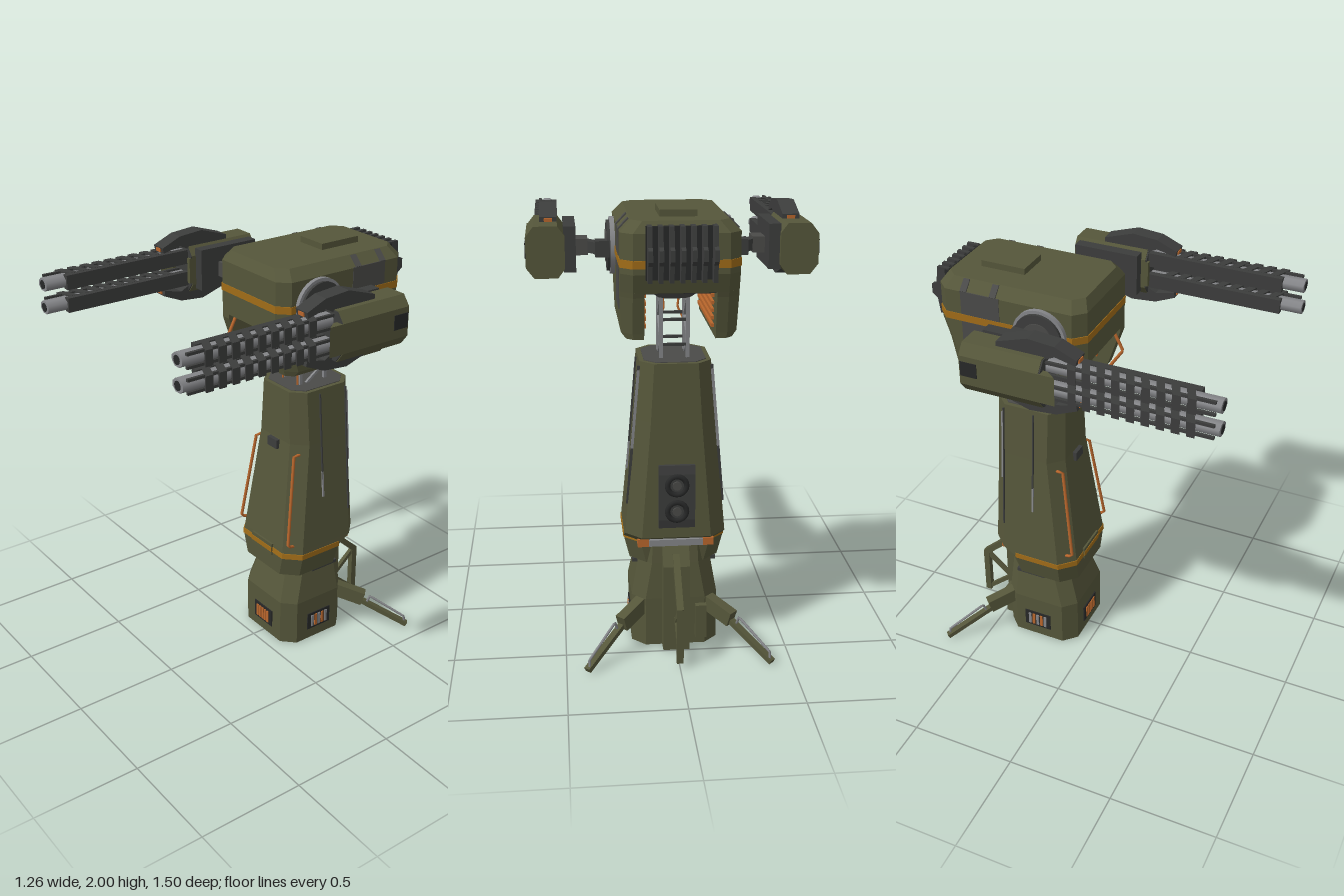
import * as THREE from 'three';

const mat = (name, color, double) => {
  const m = new THREE.MeshStandardMaterial({ color });
  m.name = name;
  if (double) m.side = THREE.DoubleSide;
  return m;
};
const V = (a) => new THREE.Vector3(...a);

export function createModel() {
  const root = new THREE.Group();
  root.name = 'sentryTower';
  const olive = mat('olive', 0x55563a), dark = mat('darkMetal', 0x3c3d3c), panel = mat('panelGrey', 0x4a4a48);
  const grey = mat('lightMetal', 0x858689), orange = mat('orange', 0xb8662c), stripe = mat('amberStripe', 0xa06c18);
  const black = mat('black', 0x272828);

  const add = (name, geo, m, x = 0, y = 0, z = 0) => {
    const mesh = new THREE.Mesh(geo, m);
    mesh.name = name;
    mesh.position.set(x, y, z);
    root.add(mesh);
    return mesh;
  };
  // box given by its min and max on each axis
  const box = (name, m, x0, x1, y0, y1, z0, z1) => add(name,
    new THREE.BoxGeometry(Math.abs(x1 - x0), y1 - y0, z1 - z0), m, (x0 + x1) / 2, (y0 + y1) / 2, (z0 + z1) / 2);
  // square beam between two points
  const beam = (name, m, p, q, w, h) => {
    const a = V(p), b = V(q);
    const mesh = add(name, new THREE.BoxGeometry(w, h, a.distanceTo(b)), m, ...a.clone().add(b).multiplyScalar(0.5).toArray());
    mesh.lookAt(b);
    return mesh;
  };
  // bent pipe with straight runs
  const pipe = (name, m, pts, r) => {
    const path = new THREE.CurvePath();
    for (let i = 0; i < pts.length - 1; i++) path.add(new THREE.LineCurve3(V(pts[i]), V(pts[i + 1])));
    add(name, new THREE.TubeGeometry(path, (pts.length - 1) * 8, r, 8), m);
  };
  const extrude = (pts, depth) => new THREE.ExtrudeGeometry(
    new THREE.Shape(pts.map((p) => new THREE.Vector2(...p))), { depth, bevelEnabled: false });
  // [z, y] outline pushed along x, and [x, z] outline pushed along y
  const slabX = (name, m, pts, x0, x1) => add(name,
    extrude(pts.map(([z, y]) => [-z, y]), Math.abs(x1 - x0)).rotateY(Math.PI / 2), m, Math.min(x0, x1));
  const slabY = (name, m, pts, y0, y1) => add(name,
    extrude(pts.map(([x, z]) => [x, -z]), y1 - y0).rotateX(-Math.PI / 2), m, 0, y0);
  // stacked chamfered rectangles, bottom to top: [y, xMin, xMax, zFront, zBack, chamfer -x, chamfer +x]
  const loft = (name, m, sections) => {
    const pos = [], idx = [], n = 8, top = (sections.length - 1) * n;
    for (const [y, a, b, f, k, l, r] of sections) {
      for (const [x, z] of [[a + l, f], [b - r, f], [b, f - r], [b, k + r], [b - r, k], [a + l, k], [a, k + l], [a, f - l]]) pos.push(x, y, z);
    }
    for (let s = 0; s < top; s += n) for (let i = 0; i < n; i++) {
      const j = (i + 1) % n;
      idx.push(s + i, s + j, s + n + j, s + i, s + n + j, s + n + i);
    }
    for (let i = 1; i < n - 1; i++) idx.push(0, i + 1, i, top, top + i, top + i + 1);
    const g = new THREE.BufferGeometry();
    g.setAttribute('position', new THREE.Float32BufferAttribute(pos, 3));
    g.setIndex(idx);
    const flat = g.toNonIndexed();
    flat.computeVertexNormals();
    return add(name, flat, m);
  };
  const sym = (y, w, f, k, c) => [y, -w, w, f, k, c, c];

  // base and its rear block
  loft('base', olive, [sym(0, 0.195, -0.065, -0.44, 0.06), sym(0.23, 0.195, -0.065, -0.44, 0.06),
    sym(0.4, 0.165, -0.12, -0.43, 0.06), sym(0.52, 0.16, -0.14, -0.42, 0.06)]);
  slabX('rearBlock', olive, [[-0.42, 0], [-0.5, 0], [-0.5, 0.41], [-0.44, 0.5], [-0.42, 0.5]], -0.06, 0.06);
  box('rearBox', olive, -0.14, -0.09, 0.04, 0.2, -0.47, -0.43);
  box('undersidePlate', grey, -0.1, 0.1, -0.0, 0.006, -0.36, -0.16).position.y = 0.0;

  // vents on the front and both sides of the base
  box('frontVent', black, -0.07, 0.07, 0.055, 0.145, -0.07, -0.059);
  for (let i = -2; i <= 2; i++) box('frontVentBar', orange, i * 0.02 - 0.007, i * 0.02 + 0.007, 0.068, 0.132, -0.062, -0.054);
  for (const s of [-1, 1]) {
    box('sideVent', black, s * 0.19, s * 0.2, 0.055, 0.145, -0.33, -0.19);
    for (let i = -2; i <= 2; i++) {
      box('sideVentBar', i % 2 ? orange : grey, s * 0.196, s * 0.205, 0.068, 0.132, -0.267 + i * 0.021, -0.253 + i * 0.021);
    }
  }

  // rear frame and the two stabiliser legs
  beam('rearStrut', olive, [0, 0.45, -0.46], [0, 0.27, -0.655], 0.03, 0.03);
  beam('rearStrut', olive, [0, 0.28, -0.65], [0, 0.02, -0.65], 0.03, 0.03);
  beam('rearBrace', olive, [0, 0.14, -0.5], [0, 0.27, -0.65], 0.02, 0.02);
  beam('rearStrut', olive, [0, 0.03, -0.65], [0, 0.16, -0.5], 0.02, 0.02);
  for (const s of [-1, 1]) {
    beam('legRoot', olive, [s * 0.14, 0.2, -0.4], [s * 0.25, 0.15, -0.51], 0.05, 0.07);
    beam('leg', olive, [s * 0.19, 0.18, -0.44], [s * 0.41, 0.012, -0.67], 0.03, 0.022);
    pipe('legRail', grey, [[s * 0.27, 0.13, -0.52], [s * 0.28, 0.165, -0.53], [s * 0.4, 0.055, -0.66], [s * 0.4, 0.02, -0.665]], 0.006);
  }

  // main tower shell
  loft('towerShell', olive, [sym(0.4, 0.2, -0.06, -0.41, 0.07), sym(0.51, 0.227, -0.056, -0.42, 0.07),
    sym(0.55, 0.223, -0.06, -0.49, 0.07), sym(1.08, 0.176, -0.128, -0.476, 0.065), sym(1.34, 0.155, -0.13, -0.47, 0.06)]);
  loft('towerStripe', stripe, [sym(0.503, 0.228, -0.053, -0.423, 0.07), sym(0.53, 0.228, -0.055, -0.423, 0.07)]);
  box('stripeHatch', olive, -0.08, 0.08, 0.488, 0.548, -0.07, -0.05);
  box('stripeHatchBand', stripe, -0.08, 0.08, 0.505, 0.53, -0.06, -0.047);
  loft('towerTopRecess', panel, [sym(1.335, 0.135, -0.15, -0.45, 0.05), sym(1.343, 0.135, -0.15, -0.45, 0.05)]);
  box('frontSensor', dark, -0.035, 0.035, 1.03, 1.075, -0.14, -0.108);
  box('waistPlate', grey, -0.12, 0.12, 0.5, 0.53, -0.47, -0.4);
  for (const s of [-1, 1]) {
    box('waistConnector', orange, s * 0.12, s * 0.17, 0.495, 0.53, -0.46, -0.41);
    box('waistPad', dark, s * 0.14, s * 0.19, 0.385, 0.402, -0.37, -0.22);
    // slits run down the sloping side walls
    for (const [z, y0, y1, m] of [[-0.262, 0.8, 1.32, dark], [-0.262, 0.8, 0.93, grey], [-0.415, 0.69, 1.32, dark], [-0.42, 0.95, 1.3, grey]]) {
      const x = (y) => s * (0.1565 + (1.34 - y) * 0.086);
      beam('sideSlit', m, [x(y0), y0, z], [x(y1), y1, z], m === grey ? 0.008 : 0.006, 0.012);
    }
    pipe('cornerRail', orange, [[s * 0.145, 1.03, -0.17], [s * 0.147, 1.03, -0.125], [s * 0.189, 0.58, -0.064], [s * 0.185, 0.57, -0.1]], 0.0075);
  }

  // rear hatch with two round covers
  slabX('rearHatch', dark, [[-0.47, 0.6], [-0.5, 0.6], [-0.508, 0.64], [-0.506, 0.85], [-0.498, 0.89], [-0.47, 0.89]], -0.08, 0.08);
  for (const y of [0.68, 0.8]) {
    add('hatchRing', new THREE.TorusGeometry(0.042, 0.012, 8, 20), black, 0, y, -0.507);
    add('hatchCap', new THREE.CylinderGeometry(0.02, 0.02, 0.02, 12).rotateX(Math.PI / 2), panel, 0, y, -0.505);
  }

  // truss neck
  for (const s of [-1, 1]) {
    for (const z of [-0.225, -0.37]) beam('neckPole', grey, [s * 0.058, 1.3, z], [s * 0.058, 1.66, z], 0.016, 0.016);
    beam('neckBrace', grey, [s * 0.058, 1.34, -0.26], [s * 0.058, 1.42, -0.37], 0.012, 0.012);
    beam('neckBrace', grey, [s * 0.058, 1.42, -0.37], [s * 0.058, 1.5, -0.23], 0.012, 0.012);
    beam('neckBrace', grey, [s * 0.058, 1.5, -0.23], [s * 0.058, 1.62, -0.37], 0.012, 0.012);
    pipe('neckCable', orange, [[s * 0.055, 1.34, -0.212], [s * 0.055, 1.48, -0.212], [s * 0.03, 1.53, -0.205], [s * 0.045, 1.66, -0.2]], 0.005);
  }
  for (const z of [-0.225, -0.37]) for (const y of [1.4, 1.51]) box('neckRung', dark, -0.058, 0.058, y - 0.006, y + 0.006, z - 0.006, z + 0.006);
  loft('neckCollar', panel, [sym(1.61, 0.07, -0.18, -0.41, 0.03), sym(1.64, 0.105, -0.14, -0.44, 0.03), sym(1.69, 0.105, -0.14, -0.44, 0.03)]);

  // head with open underside
  loft('head', olive, [sym(1.68, 0.245, 0.03, -0.643, 0.05), sym(1.76, 0.245, 0.03, -0.67, 0.05),
    sym(1.925, 0.245, 0.03, -0.67, 0.05), sym(1.972, 0.2, 0.005, -0.64, 0.045)]);
  loft('headStripe', stripe, [sym(1.785, 0.248, 0.033, -0.673, 0.05), sym(1.818, 0.248, 0.033, -0.673, 0.05)]);
  box('headCeiling', black, -0.146, 0.146, 1.673, 1.681, -0.62, 0.0);
  box('roofHatch', olive, -0.077, 0.077, 1.96, 2, -0.53, -0.32);
  for (const s of [-1, 1]) {
    const skirt = (y, a, b, f, k, c) => s > 0 ? [y, a, b, f, k, 0.001, c] : [y, -b, -a, f, k, c, 0.001];
    loft('headSkirt', olive, [skirt(1.48, 0.147, 0.22, -0.03, -0.6, 0.03), skirt(1.505, 0.147, 0.24, -0.022, -0.604, 0.045),
      skirt(1.66, 0.147, 0.245, 0.03, -0.637, 0.05), skirt(1.682, 0.147, 0.245, 0.03, -0.644, 0.05)]);
    for (let i = 0; i < 5; i++) box('innerBar', orange, s * 0.135, s * 0.148, 1.515 + i * 0.032, 1.53 + i * 0.032, -0.55, -0.08);
    box('sidePanel', panel, s * 0.242, s * 0.2475, 1.6, 1.784, -0.545, -0.36);
    box('sidePanel', panel, s * 0.242, s * 0.2475, 1.819, 1.927, -0.545, -0.36);
    for (const z of [-0.53, -0.39]) beam('shoulderPatch', panel, [s * 0.247, 1.927, z], [s * 0.205, 1.97, z], 0.03, 0.006);
    // round shoulder joint
    const disc = (name, r, x, w, m) => add(name, new THREE.CylinderGeometry(r, r, w, 32).rotateZ(Math.PI / 2), m, s * x, 1.8, -0.165);
    disc('shoulderDisc', 0.124, 0.253, 0.024, grey);
    disc('shoulderRim', 0.11, 0.265, 0.026, dark);
    disc('shoulderCap', 0.07, 0.272, 0.022, panel);
  }
  pipe('frontRail', orange, [[-0.13, 1.67, 0.005], [-0.13, 1.58, 0.052], [0.13, 1.58, 0.052], [0.13, 1.67, 0.005]], 0.0075);

  // cooling fins on the back of the head
  box('finBacking', black, -0.145, 0.145, 1.74, 1.955, -0.677, -0.66);
  for (let i = -3; i <= 3; i++) {
    slabX('coolingFin', dark, [[-0.66, 1.96], [-0.717, 1.96], [-0.727, 1.88], [-0.752, 1.87], [-0.752, 1.825],
      [-0.727, 1.805], [-0.717, 1.735], [-0.66, 1.735]], i * 0.0435 - 0.009, i * 0.0435 + 0.009);
  }

  // arms and twin guns
  for (const s of [-1, 1]) {
    box('armHinge', dark, s * 0.27, s * 0.33, 1.765, 1.835, -0.275, -0.2);
    beam('armLink', dark, [s * 0.3, 1.8, -0.25], [s * 0.39, 1.8, -0.13], 0.045, 0.05);
    box('armBlock', panel, s * 0.36, s * 0.42, 1.765, 1.835, -0.21, -0.1);
    box('mountPlate', dark, s * 0.413, s * 0.465, 1.71, 1.905, -0.315, -0.005);
    const outline = [[0.46, 1.73], [0.49, 1.69], [0.59, 1.69], [0.625, 1.735], [0.625, 1.865], [0.59, 1.91], [0.49, 1.91], [0.46, 1.87]].map(([x, y]) => [s * x, y]);
    add('gunBody', extrude(outline, 0.355), olive, 0, 0, -0.34);
    add('gunFrontCap', extrude(outline.map(([x, y]) => [s * 0.54 + (x - s * 0.54) * 0.97, 1.8 + (y - 1.8) * 0.97]), 0.008), dark, 0, 0, 0.013);
    slabY('gunCheek', olive, [[s * 0.59, -0.05], [s * 0.625, -0.05], [s * 0.625, 0.085], [s * 0.59, 0.04]], 1.735, 1.865);
    box('gunInnerCheek', olive, s * 0.46, s * 0.48, 1.74, 1.86, -0.02, 0.03);
    box('gunNotch', black, s * 0.62, s * 0.628, 1.775, 1.84, -0.335, -0.26);
    // curved guards above and below the body
    for (const t of [-1, 1]) {
      const guard = [[0.15, 0.09], [0.155, 0.115], [0.06, 0.155], [-0.06, 0.165], [-0.2, 0.12], [-0.2, 0.09], [0.02, 0.09], [0.06, 0.11]];
      slabX('gunGuard', dark, guard.map(([z, y]) => [z, 1.81 + t * y]), s * 0.49, s * 0.565);
      box('guardTip', orange, s * 0.51, s * 0.545, 1.81 + t * 0.102 - 0.008, 1.81 + t * 0.102 + 0.008, 0.14, 0.158);
      box('guardTail', orange, s * 0.51, s * 0.545, 1.81 + t * 0.105 - 0.01, 1.81 + t * 0.105 + 0.01, -0.205, -0.19);
    }
    for (const y of [1.757, 1.862]) {
      add('barrel', new THREE.CylinderGeometry(0.038, 0.038, 0.75, 8).rotateY(Math.PI / 8).rotateX(Math.PI / 2), grey, s * 0.533, y, 0.375).scale.y = 0.8;
      add('bore', new THREE.CylinderGeometry(0.02, 0.02, 0.006, 12).rotateX(Math.PI / 2), black, s * 0.533, y, 0.75);
      box('barrelSpine', dark, s * 0.487, s * 0.517, y - 0.033, y + 0.033, 0, 0.655);
      for (const t of [-1, 1]) box('barrelEdge', dark, s * 0.56, s * 0.573, y + t * 0.027 - 0.006, y + t * 0.027 + 0.006, 0, 0.73);
      for (let i = 0; i < 9; i++) {
        const z = 0.09 + i * 0.0625;
        slabY('barrelRib', dark, [[s * 0.51, z], [s * 0.59, z + 0.035], [s * 0.59, z + 0.07], [s * 0.51, z + 0.035]], y - 0.034, y + 0.034);
      }
    }
  }

  return root;
}
